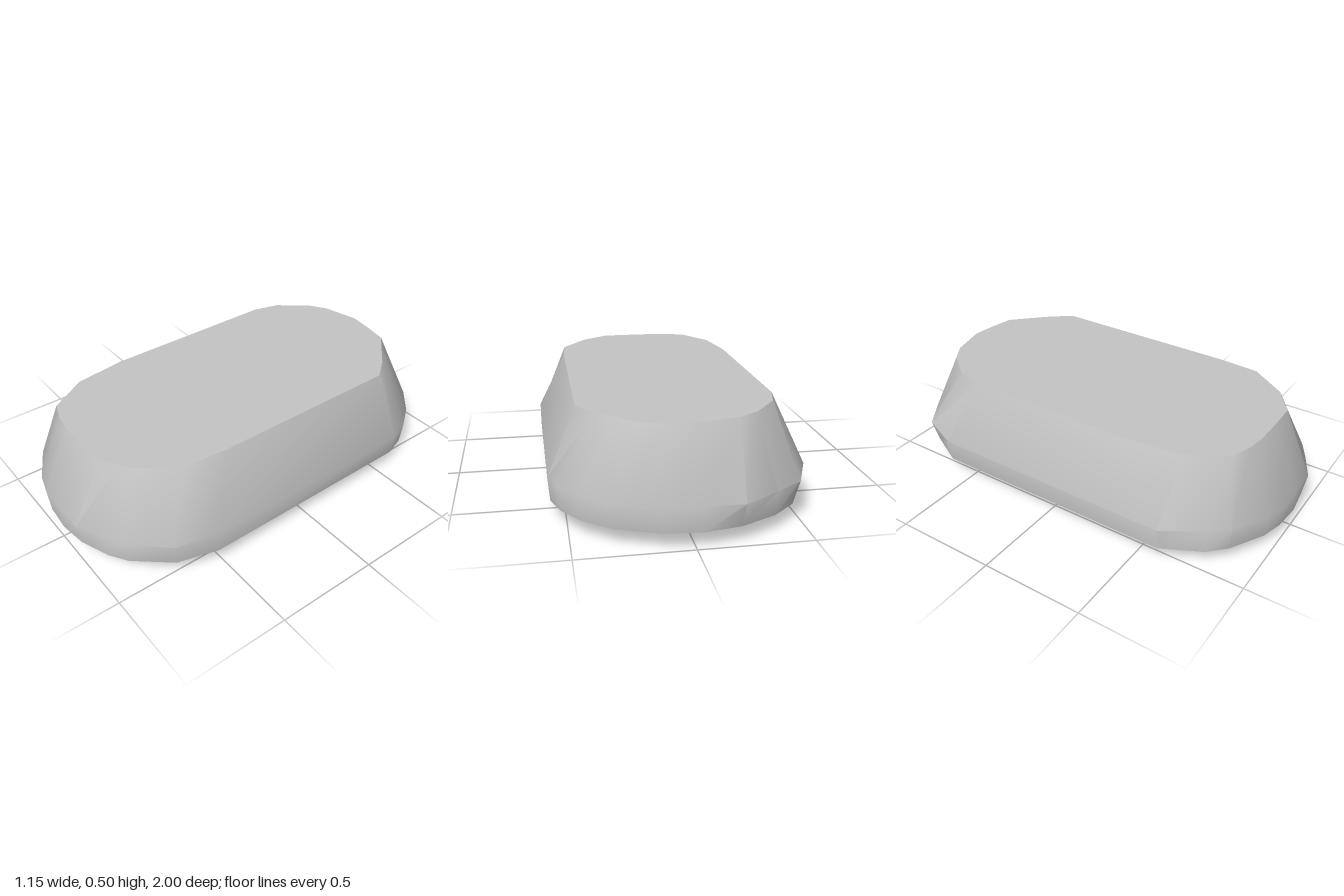
import * as THREE from 'three';
import { toCreasedNormals } from 'three/addons/utils/BufferGeometryUtils.js';

// Clockwise outline from above: waist x, waist z, top x, top z
const OUTLINE = [
  [-0.20, -1.00, -0.21, -0.83], [-0.03, -1.00, -0.03, -0.875], [0.14, -1.00, 0.09, -0.86],
  [0.34, -0.92, 0.20, -0.84], [0.46, -0.81, 0.29, -0.75], [0.54, -0.70, 0.37, -0.67],
  [0.575, -0.59, 0.445, -0.57], [0.575, 0.52, 0.44, 0.38], [0.535, 0.72, 0.425, 0.58],
  [0.39, 0.88, 0.30, 0.76], [0.30, 0.93, 0.24, 0.80], [0.16, 1.00, 0.165, 0.855],
  [0.02, 1.00, 0.02, 0.857], [-0.12, 1.00, -0.12, 0.855], [-0.23, 0.97, -0.21, 0.84],
  [-0.40, 0.88, -0.30, 0.81], [-0.46, 0.79, -0.41, 0.63], [-0.575, 0.61, -0.445, 0.38],
  [-0.575, -0.61, -0.445, -0.50], [-0.49, -0.81, -0.41, -0.63], [-0.36, -0.90, -0.30, -0.77],
];

// Rounds the ends of the lower rim
function roundEnd(x, z) {
  const e = Math.max(Math.abs(z) - 0.5, 0);
  const k = Math.hypot(x / 0.575, e / 0.5);
  return [x / k, Math.sign(z) * (0.5 + e / k)];
}

// Skins closed rings from bottom to top and caps both ends
function loft(rings) {
  const n = rings[0].length, last = rings.length - 1;
  const positions = rings.flat(2);
  const index = [];
  rings.forEach((ring, r) => {
    for (let i = 0; i < n; i++) {
      const j = (i + 1) % n, a = r * n + i, b = r * n + j;
      if (r < last) index.push(a, a + n, b, b, a + n, b + n);
      if (r === 0) index.push((last + 1) * n, a, b);
      if (r === last) index.push((last + 1) * n + 1, b, a);
    }
  });
  positions.push(0, rings[0][0][1], 0, 0, rings[last][0][1], 0);
  const geometry = new THREE.BufferGeometry();
  geometry.setAttribute('position', new THREE.Float32BufferAttribute(positions, 3));
  geometry.setIndex(index);
  return toCreasedNormals(geometry, 0.7);
}

export function createModel() {
  const group = new THREE.Group();
  group.name = 'roundedStone';
  const stone = new THREE.MeshStandardMaterial({ name: 'light grey', color: 0xc4c4c4 });

  const rim = OUTLINE.map(([x, z]) => roundEnd(x, z));
  const rings = [
    rim.map(([x, z]) => [x * 0.14, 0, z * 0.1]),          // small foot
    rim.map(([x, z]) => [x, 0.075, z]),                   // lower rim
    OUTLINE.map(([x, z]) => [x, 0.185, z]),               // waist
    OUTLINE.map(([, , x, z]) => [x, 0.495, z]),           // flat top
  ];
  const body = new THREE.Mesh(loft(rings), stone);
  body.name = 'body';
  group.add(body);
  return group;
}
